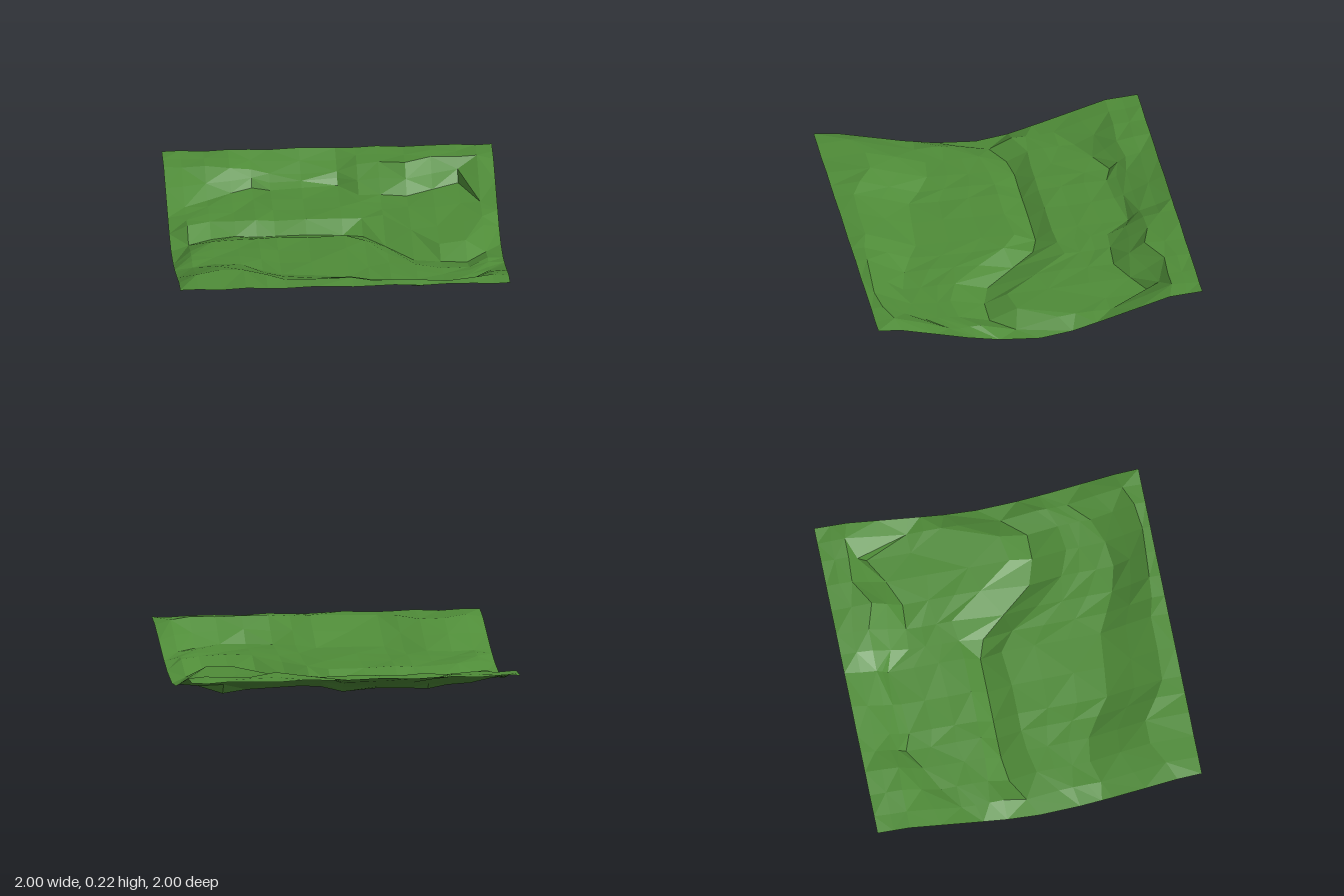
import * as THREE from 'three';

// Stations along x. Each row: x, height of the back ledge, then the z of
// back ledge, back cliff foot, creek back bank, creek bed, creek front bank, front slope foot, front slope top
const stations = [
  [-1, 0.2, -0.8, -0.42, -0.2, 0, 0.25, 0.45, 0.85],
  [-0.89, 0.195, -0.8, -0.46, -0.2, -0.06, 0.14, 0.4, 0.8],
  [-0.75, 0.195, -0.8, -0.56, -0.27, -0.14, 0.03, 0.36, 0.73],
  [-0.6, 0.19, -0.79, -0.64, -0.26, -0.16, 0, 0.38, 0.73],
  [-0.47, 0.16, -0.82, -0.72, -0.26, -0.16, -0.01, 0.46, 0.82],
  [-0.36, 0.135, -0.8, -0.68, -0.26, -0.16, -0.01, 0.54, 0.88],
  [-0.17, 0.135, -0.8, -0.69, -0.26, -0.16, -0.01, 0.56, 0.89],
  [0.05, 0.14, -0.8, -0.73, -0.26, -0.16, -0.03, 0.58, 0.89],
  [0.17, 0.185, -0.8, -0.58, -0.27, -0.12, 0.06, 0.64, 0.92],
  [0.3, 0.205, -0.8, -0.57, -0.29, 0.03, 0.24, 0.7, 0.93],
  [0.46, 0.21, -0.75, -0.56, -0.08, 0.22, 0.42, 0.74, 0.94],
  [0.62, 0.21, -0.84, -0.63, 0.13, 0.27, 0.48, 0.72, 0.95],
  [0.78, 0.21, -0.83, -0.72, 0.1, 0.27, 0.46, 0.66, 0.93],
  [0.9, 0.21, -0.83, -0.45, -0.13, 0.13, 0.35, 0.54, 0.88],
  [1, 0.2, -0.8, -0.42, -0.2, 0, 0.25, 0.45, 0.85],
];

// Heights of the remaining lines, from the cliff foot to the front slope top
const innerY = [0.084, 0.077, 0.017, 0.075, 0.084, 0.215];
const edgeY = [0.09, 0.03, 0.004, 0.03, 0.075, 0.19];
const rimY = 0.21;
// Extra rows across each strip between neighbouring lines
const splits = [2, 2, 3, 1, 1, 3, 2, 1];

function createTerrain() {
  const positions = [];
  const indices = [];

  stations.forEach(([x, ledgeY, ...lines], i) => {
    const onEdge = i === 0 || i === stations.length - 1;
    const zs = [-1, ...lines, 1];
    const ys = [rimY, ledgeY, ...(onEdge ? edgeY : innerY), rimY];
    let row = 0;
    const addPoint = (z, y) => {
      // Gentle unevenness, left out where the tile meets its neighbours at the sides
      const bump = onEdge ? 0 : 0.005 * Math.sin(i * 2.3 + row * 1.7);
      positions.push(x, y + bump, z);
      row++;
    };
    splits.forEach((n, s) => {
      for (let k = 0; k < n; k++) {
        const t = k / n;
        addPoint(THREE.MathUtils.lerp(zs[s], zs[s + 1], t), THREE.MathUtils.lerp(ys[s], ys[s + 1], t));
      }
    });
    addPoint(1, rimY);
  });

  // Two triangles per cell, with alternating diagonals
  const rows = splits.reduce((a, b) => a + b, 1);
  for (let i = 0; i < stations.length - 1; i++) {
    for (let j = 0; j < rows - 1; j++) {
      const a = i * rows + j, b = a + 1, d = a + rows, c = d + 1;
      if ((i + j) % 2) indices.push(a, b, c, a, c, d);
      else indices.push(a, b, d, b, c, d);
    }
  }

  const geometry = new THREE.BufferGeometry();
  geometry.setAttribute('position', new THREE.Float32BufferAttribute(positions, 3));
  geometry.setIndex(indices);
  geometry.computeVertexNormals();
  return geometry;
}

export function createModel() {
  const group = new THREE.Group();
  group.name = 'valleyTile';
  const grass = new THREE.MeshStandardMaterial({
    color: 0x4f8c38, flatShading: true, side: THREE.DoubleSide,
  });
  const ground = new THREE.Mesh(createTerrain(), grass);
  ground.name = 'grassGround';
  group.add(ground);
  return group;
}
